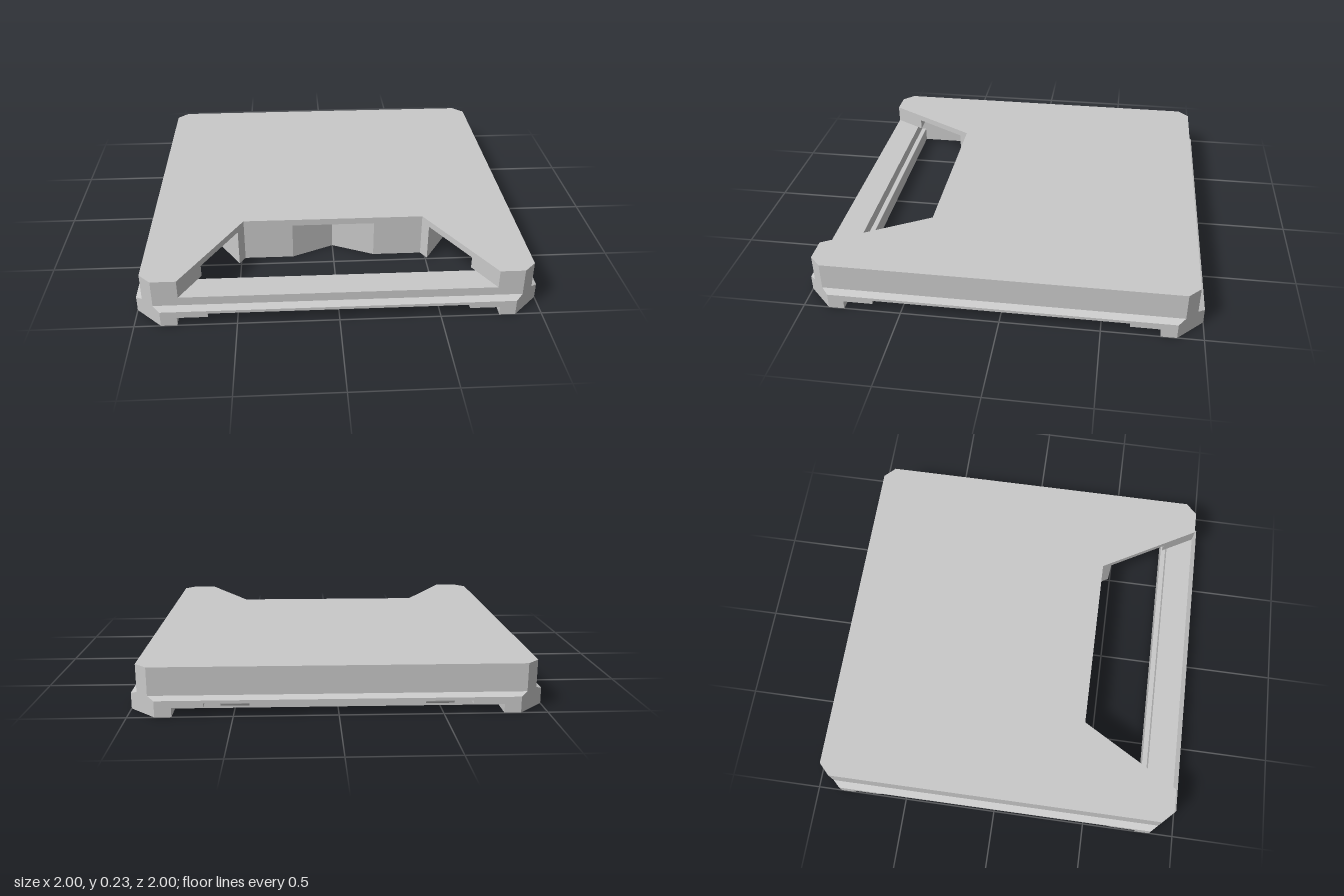
import * as THREE from 'three';

const stone = new THREE.MeshStandardMaterial({ color: 0xc9c9c9 });
stone.name = 'stone grey';

// points are [x, z] pairs in plan
const toPath = (pts, Type) => new Type(pts.map(([x, z]) => new THREE.Vector2(x, -z)));

const octagon = (h, c) => [[h, -c], [h, c], [c, h], [-c, h], [-h, c], [-h, -c], [-c, -h], [c, -h]];
// opening wound opposite to the outlines, so its walls face inward
const opening = (x0, x1, z0, z1) => [[x1, z0], [x0, z0], [x0, z1], [x1, z1]];

// octagonal outline with a recess of half-width s on all four sides
function recessed(s, depth) {
  const side = [[1, -0.87], [1, -s], [depth, -s], [depth, s], [1, s], [1, 0.87]];
  const pts = [];
  for (let i = 0; i < 4; i++) {
    const a = i * Math.PI / 2, c = Math.round(Math.cos(a)), n = Math.round(Math.sin(a));
    for (const [x, z] of side) pts.push([x * c - z * n, x * n + z * c]);
  }
  return pts;
}

// closed ring of quads from a lower loop to an upper loop
function band(lower, y0, upper, y1) {
  const pos = [], n = lower.length;
  for (let i = 0; i < n; i++) {
    const j = (i + 1) % n;
    const a = [lower[i][0], y0, lower[i][1]], b = [lower[j][0], y0, lower[j][1]];
    const c = [upper[j][0], y1, upper[j][1]], d = [upper[i][0], y1, upper[i][1]];
    pos.push(...a, ...c, ...b, ...a, ...d, ...c);
  }
  const geo = new THREE.BufferGeometry();
  geo.setAttribute('position', new THREE.Float32BufferAttribute(pos, 3));
  geo.computeVertexNormals();
  return geo;
}

export function createModel() {
  const group = new THREE.Group();

  const add = (name, geo) => {
    const mesh = new THREE.Mesh(geo, stone);
    mesh.name = name;
    group.add(mesh);
  };

  // vertical-sided slab between heights y0 and y1
  const slab = (name, pts, y0, y1, holes = []) => {
    const shape = toPath(pts, THREE.Shape);
    for (const h of holes) shape.holes.push(toPath(h, THREE.Path));
    const geo = new THREE.ExtrudeGeometry(shape, { depth: y1 - y0, bevelEnabled: false });
    geo.rotateX(-Math.PI / 2).translate(0, y0, 0);
    add(name, geo);
  };

  const H = 0.965, C = 0.905, I = 0.79;
  const outerU = [[0.78, H], [C, H], [H, C], [H, -C], [C, -H], [-C, -H], [-H, -C], [-H, C], [-C, H], [-0.78, H]];

  // top plate with trapezoid notch in the front edge
  slab('topPlate', [...outerU, [-0.48, 0.44], [0.48, 0.44]], 0.2, 0.235);

  // upper wall, open at the notch
  slab('upperWall', [...outerU, [-0.68, I], [-I, I], [-I, -I], [I, -I], [I, I], [0.68, I]], 0.14, 0.2);

  // lower wall and flange, with a long slot in the underside of each side
  const slots = [
    opening(0.915, 0.945, -0.25, 0.25), opening(-0.945, -0.915, -0.25, 0.25),
    opening(-0.25, 0.25, 0.915, 0.945), opening(-0.25, 0.25, -0.945, -0.915),
  ];
  const cavity = opening(-I, I, -I, I), wallCavity = opening(-I, I, -I, 0.817);
  slab('lowerWall', octagon(H, C), 0.11, 0.14, [wallCavity]);
  slab('slottedWall', octagon(H, C), 0.08, 0.11, [wallCavity, ...slots]);
  slab('flange', octagon(1, 0.87), 0.065, 0.08, [cavity, ...slots]);

  // sloped shoulder between wall and flange
  add('shoulder', band(octagon(1, 0.87), 0.08, octagon(H, C), 0.095));

  // stepped corner feet on the base ring
  slab('footStep', recessed(0.64, 0.88), 0.045, 0.065, [cavity]);
  slab('cornerFeet', recessed(0.79, 0.88), 0, 0.045, [cavity]);

  // rounded connector ridges, two on each side
  for (let i = 0; i < 4; i++) {
    const sideGroup = new THREE.Group();
    sideGroup.name = 'connectorSide';
    sideGroup.rotation.y = i * Math.PI / 2;
    for (const s of [-0.5, 0.5]) {
      const geo = new THREE.CylinderGeometry(0.0225, 0.0225, 0.14, 12).rotateZ(Math.PI / 2);
      const ridge = new THREE.Mesh(geo, stone);
      ridge.name = 'connectorRidge';
      ridge.position.set(s, 0.033, 0.875);
      sideGroup.add(ridge);
    }
    group.add(sideGroup);
  }

  // three support blocks around a triangular hollow; the front two are cut by the notch
  const block = [[0, 0.34], [0.22, 0.44], [0.48, 0.44], [0.51, 0.49], [0.755, 0.095], [0.275, -0.17]];
  for (const m of [1, -1]) {
    slab(m > 0 ? 'leftSupportBlock' : 'rightSupportBlock', block.map(([x, z]) => [x * m, z]), 0, 0.2);
  }
  slab('backSupportBlock', [[0.275, -0.17], [-0.275, -0.17], [-0.275, -0.7], [0.275, -0.7]], 0, 0.2);
  return group;
}
